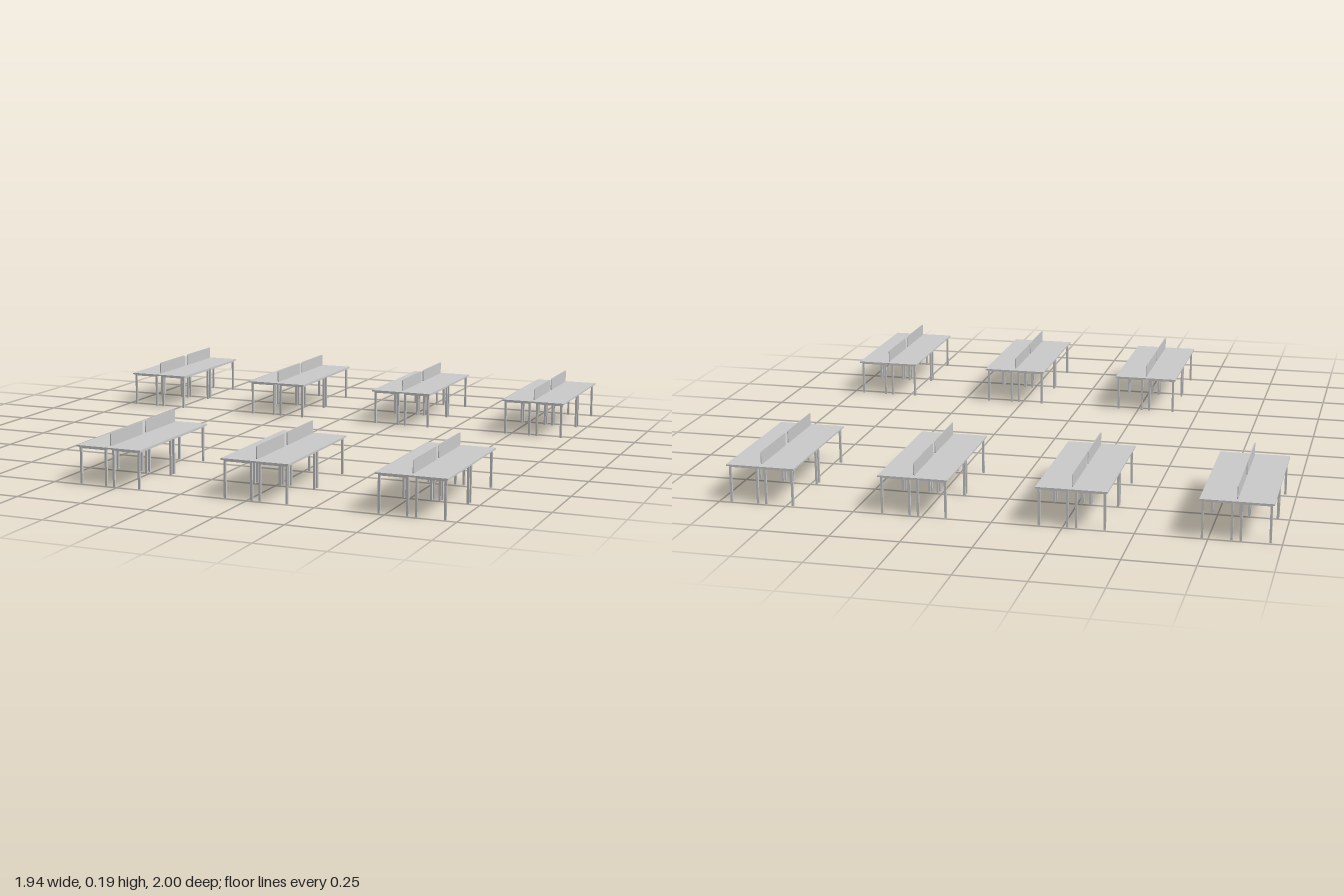
import * as THREE from 'three';

const material = new THREE.MeshStandardMaterial({ color: 0xcccccc });
const LENGTH = 0.534, WIDTH = 0.252, TOP_Y = 0.141;
const LEG_X = [0.0155, 0.115], LEG_Z = [0.012, 0.254], LEG = 0.008;

function box(name, w, h, d, x, y, z) {
  const mesh = new THREE.Mesh(new THREE.BoxGeometry(w, h, d), material);
  mesh.name = name;
  mesh.position.set(x, y, z);
  return mesh;
}

// Thin divider with rounded corners, running along z
function screenGeometry(length, height, thickness, r) {
  const a = length / 2, s = new THREE.Shape();
  s.moveTo(-a + r, 0);
  s.lineTo(a - r, 0);
  s.quadraticCurveTo(a, 0, a, r);
  s.lineTo(a, height - r);
  s.quadraticCurveTo(a, height, a - r, height);
  s.lineTo(-a + r, height);
  s.quadraticCurveTo(-a, height, -a, height - r);
  s.lineTo(-a, r);
  s.quadraticCurveTo(-a, 0, -a + r, 0);
  const g = new THREE.ExtrudeGeometry(s, { depth: thickness, bevelEnabled: false, curveSegments: 4 });
  return g.translate(0, 0, -thickness / 2).rotateY(Math.PI / 2);
}

// Four desks pushed together
function deskCluster() {
  const cluster = new THREE.Group();
  cluster.name = 'deskCluster';
  cluster.add(box('desktop', WIDTH, 0.006, LENGTH, 0, TOP_Y - 0.003, 0));
  const screen = screenGeometry(0.235, 0.048, 0.003, 0.006);
  const railY = 0.132, railH = 0.006, railW = 0.006;
  const midX = (LEG_X[0] + LEG_X[1]) / 2, midZ = (LEG_Z[0] + LEG_Z[1]) / 2;
  for (const sz of [-1, 1]) {
    const divider = new THREE.Mesh(screen, material);
    divider.name = 'dividerScreen';
    divider.position.set(0, 0.143, sz * 0.1305);
    cluster.add(divider);
    for (const sx of [-1, 1]) {
      // Legs and the frame rails of one desk
      for (const x of LEG_X) {
        for (const z of LEG_Z) {
          cluster.add(box('leg', LEG, 0.135, LEG, sx * x, 0.0675, sz * z));
        }
        cluster.add(box('longRail', railW, railH, LEG_Z[1] - LEG_Z[0], sx * x, railY, sz * midZ));
      }
      for (const z of LEG_Z) {
        cluster.add(box('crossRail', LEG_X[1] - LEG_X[0], railH, railW, sx * midX, railY, sz * z));
      }
    }
  }
  return cluster;
}

export function createModel() {
  const model = new THREE.Group();
  model.name = 'officeDesks';
  // Back row of four, front row of three
  const rows = [
    { z: -0.733, xs: [-0.844, -0.281, 0.281, 0.842] },
    { z: 0.733, xs: [-0.281, 0.281, 0.842] },
  ];
  for (const { z, xs } of rows) {
    for (const x of xs) {
      const cluster = deskCluster();
      cluster.position.set(x, 0, z);
      model.add(cluster);
    }
  }
  return model;
}
